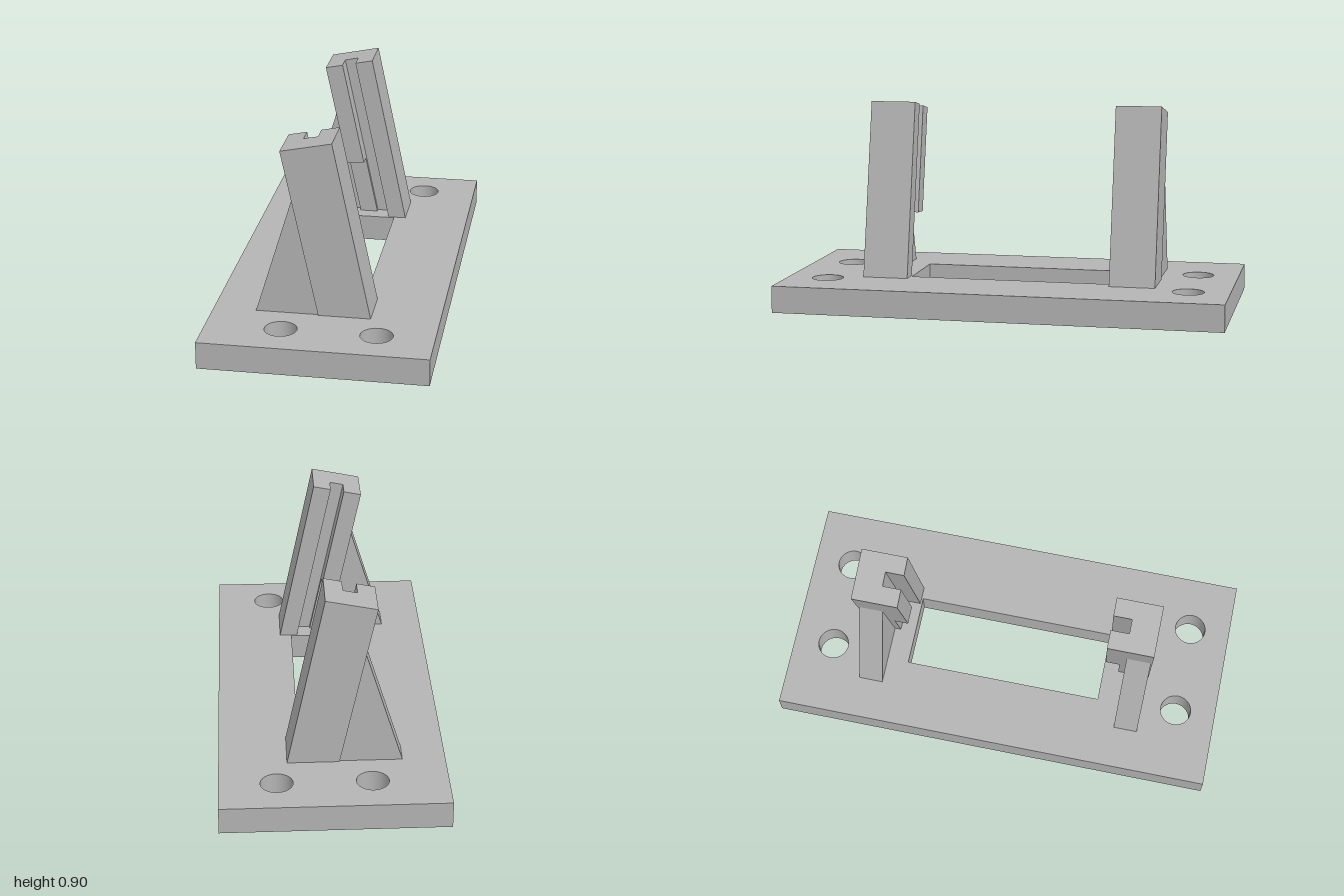
import * as THREE from 'three';

const grey = new THREE.MeshStandardMaterial({ color: 0xb4b4b4 });
grey.name = 'plain grey';

const BASE_TOP = 0.12;

// Prism from a front-facing outline, running from z0 to z1
function prism(name, points, z0, z1) {
  const shape = new THREE.Shape(points.map(([x, y]) => new THREE.Vector2(x, y)));
  const geometry = new THREE.ExtrudeGeometry(shape, { depth: z1 - z0, bevelEnabled: false });
  geometry.translate(0, 0, z0);
  const mesh = new THREE.Mesh(geometry, grey);
  mesh.name = name;
  return mesh;
}

// Point on the leaning post: u runs across it, v runs up it
function postPoint(u, v) {
  const foot = [-0.032 + 0.227 * u, BASE_TOP];
  const head = [-0.19 + 0.22 * u, 0.86 + 0.045 * u];
  return [foot[0] + (head[0] - foot[0]) * v, foot[1] + (head[1] - foot[1]) * v];
}

const postOutline = (u0, u1, v0, v1) =>
  [postPoint(u0, v0), postPoint(u1, v0), postPoint(u1, v1), postPoint(u0, v1)];

// Base plate with central window and four screw holes
function createBase() {
  const shape = new THREE.Shape();
  shape.moveTo(-0.49, -1).lineTo(0.49, -1).lineTo(0.49, 1).lineTo(-0.49, 1).closePath();

  const opening = new THREE.Path();
  opening.moveTo(-0.185, -0.452).lineTo(-0.185, 0.452).lineTo(0.14, 0.452).lineTo(0.14, -0.452).closePath();
  shape.holes.push(opening);

  for (const x of [-0.165, 0.243]) {
    for (const y of [-0.817, 0.817]) {
      const hole = new THREE.Path();
      hole.absarc(x, y, 0.07, 0, Math.PI * 2, true);
      shape.holes.push(hole);
    }
  }
  const geometry = new THREE.ExtrudeGeometry(shape, { depth: BASE_TOP, bevelEnabled: false, curveSegments: 32 });
  geometry.rotateX(-Math.PI / 2);
  const base = new THREE.Mesh(geometry, grey);
  base.name = 'basePlate';
  return base;
}

// Slotted leaning post with its gusset; side is +1 for front, -1 for back
function createSupport(side) {
  const support = new THREE.Group();
  support.name = side > 0 ? 'frontSupport' : 'backSupport';
  const add = (name, points, inner, outer) =>
    support.add(prism(name, points, side > 0 ? inner : -outer, side > 0 ? outer : -inner));

  add('postBody', postOutline(0, 1, 0, 1), 0.542, 0.665);
  // Ribs either side of the slot, one stepped back near its foot
  add('tallRib', postOutline(0.64, 1, 0, 1), 0.46, 0.542);
  add('upperRib', postOutline(0, 0.36, 0.36, 1), 0.46, 0.542);
  add('lowerRib', postOutline(0, 0.36, 0, 0.36), 0.522, 0.542);
  // Triangular brace behind the lean
  add('gusset', [[-0.304, BASE_TOP], [-0.032, BASE_TOP], [-0.143, 0.643]], 0.55, 0.658);
  return support;
}

export function createModel() {
  const model = new THREE.Group();
  model.name = 'slottedStand';
  model.add(createBase(), createSupport(1), createSupport(-1));
  return model;
}
